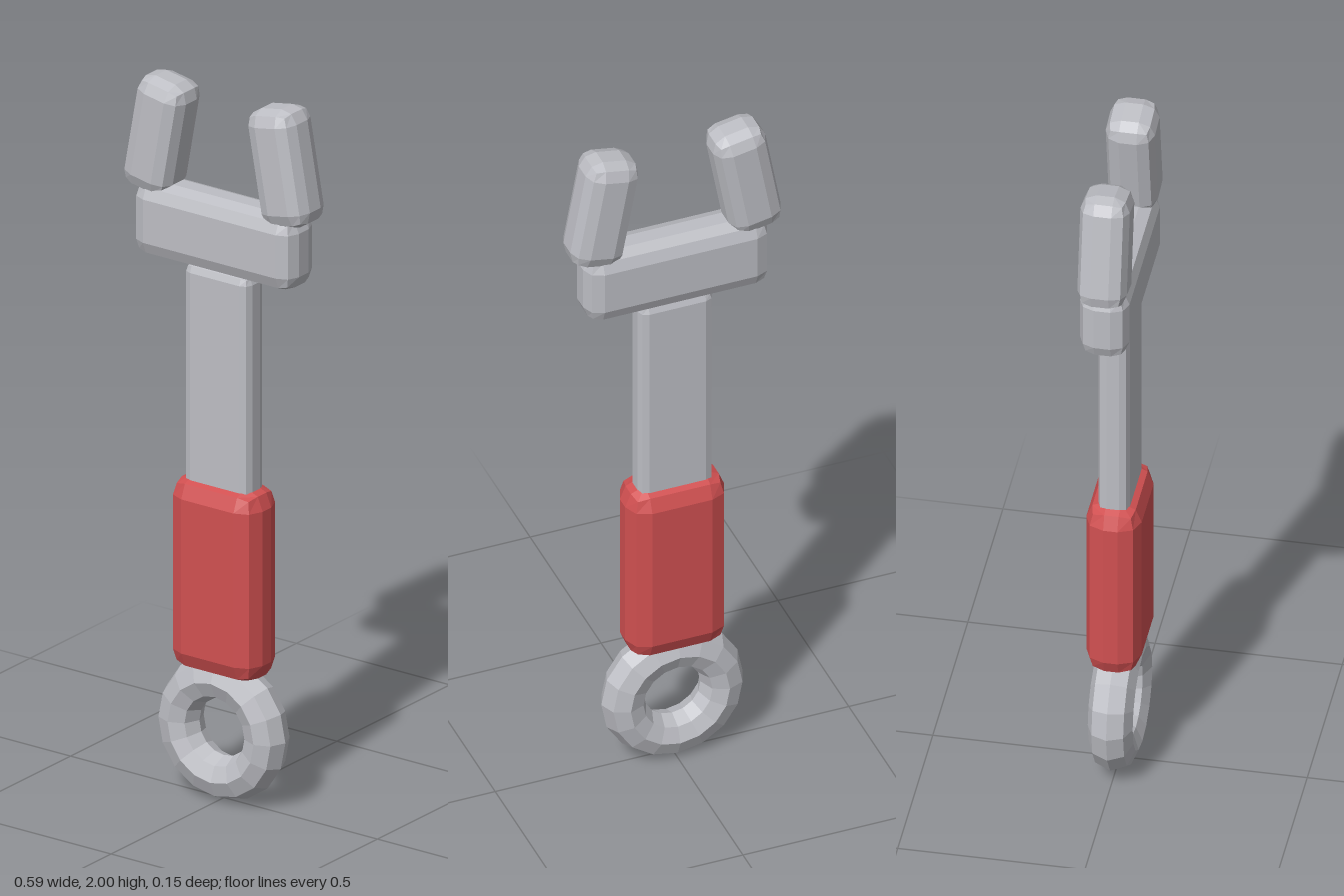
import * as THREE from 'three';
import { RoundedBoxGeometry } from 'three/addons/geometries/RoundedBoxGeometry.js';

export function createModel() {
  const model = new THREE.Group();
  model.name = 'wrench';

  const steel = new THREE.MeshStandardMaterial({ name: 'steel grey', color: 0xbdbec4, flatShading: true });
  const rubber = new THREE.MeshStandardMaterial({ name: 'grip red', color: 0xd15051, flatShading: true });

  const add = (name, geometry, material, x, y, tilt = 0) => {
    const mesh = new THREE.Mesh(geometry, material);
    mesh.name = name;
    mesh.position.set(x, y, 0);
    mesh.rotation.z = tilt;
    model.add(mesh);
  };
  // Box with two-facet bevels on every edge
  const block = (w, h, d, r) => new RoundedBoxGeometry(w, h, d, 1, r);

  // Hanging ring at the foot of the handle
  add('hangingRing', new THREE.TorusGeometry(0.14, 0.06, 8, 16), steel, 0, 0.2);

  // Handle: red grip and the flat shaft rising out of it
  add('grip', block(0.28, 0.545, 0.148, 0.055), rubber, 0, 0.6275);
  add('shaft', block(0.21, 0.65, 0.084, 0.025), steel, 0, 1.175);

  // Open head: crossbar and two prongs leaning inward
  add('headBar', block(0.52, 0.21, 0.132, 0.044), steel, 0, 1.597);
  for (const side of [-1, 1]) {
    add(side > 0 ? 'leftJaw' : 'rightJaw', block(0.15, 0.326, 0.132, 0.042),
      steel, side * 0.202, 1.832, side * 0.18);
  }
  return model;
}
